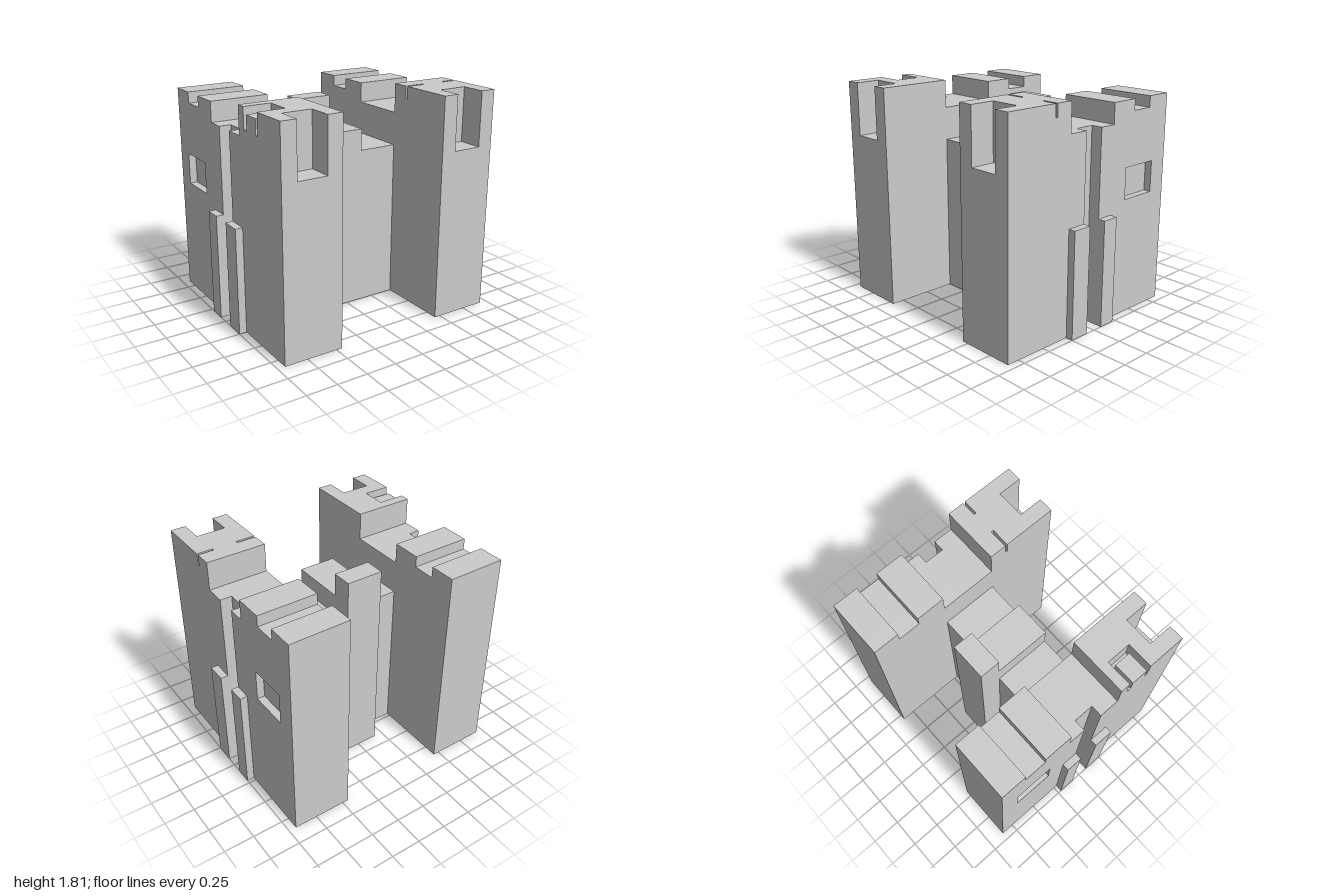
import * as THREE from 'three';

// Each block is [x0, x1, y0, y1, z0, z1]; a part is its solid blocks minus its cuts.
const mirrorX = ([x0, x1, ...rest]) => [-x1, -x0, ...rest];

// Tower wing on the +x side: stepped roof, front niche, side channel, blind window
function wing(top) {
  return {
    solids: [
      [0.45, 0.94, 0, top, 0.25, 0.855],
      [0.45, 0.94, 0, 1.575, -0.22, 0.25],
      [0.45, 0.94, 0, 1.74, -0.86, -0.22],
    ],
    cuts: [
      [0.45, 0.94, 1.65, 1.74, -0.645, -0.46],  // roof groove
      [0.575, 0.815, 1.37, top, 0.655, 0.855],  // front niche
      [0.845, 0.94, 0, 1.575, -0.08, 0.085],    // side channel
      [0.88, 0.94, 0.96, 1.215, -0.705, -0.385], // blind window
    ],
  };
}

function buildParts() {
  const left = wing(1.81), right = wing(1.8);
  // thin slits across the left tower roof
  left.cuts.push([0.45, 0.61, 1.71, 1.81, 0.39, 0.41], [0.81, 0.94, 1.71, 1.81, 0.39, 0.41]);
  // U-shaped groove around a lowered block in the right tower roof
  right.cuts.push(
    [0.72, 0.94, 1.75, 1.8, 0.33, 0.535],
    [0.72, 0.94, 1.63, 1.75, 0.33, 0.37],
    [0.72, 0.94, 1.63, 1.75, 0.51, 0.535],
    [0.72, 0.76, 1.63, 1.75, 0.37, 0.51],
  );
  const pilasters = [
    [0.94, 1, 0, 0.87, 0.085, 0.25],
    [0.94, 1, 0, 0.87, -0.22, -0.08],
  ];
  return [
    { name: 'leftTower', ...left },
    { name: 'rightTower', solids: right.solids.map(mirrorX), cuts: right.cuts.map(mirrorX) },
    { name: 'leftPilasters', solids: pilasters, cuts: [] },
    { name: 'rightPilasters', solids: pilasters.map(mirrorX), cuts: [] },
    {
      name: 'connectingWall',
      solids: [[-0.45, -0.175, 0, 1.305, -0.22, 0.25], [0.13, 0.45, 0, 1.305, -0.22, 0.25]],
      cuts: [],
    },
    { name: 'centralBlock', solids: [[-0.175, 0.13, 0, 1.48, -0.22, 0.25]], cuts: [] },
    { name: 'rearButtress', solids: [[-0.175, 0.13, 0, 1.67, -0.39, -0.22]], cuts: [] },
  ];
}

export function createModel() {
  const parts = buildParts();

  // Grid planes from every block edge
  const planes = [0, 1, 2].map((axis) => {
    const values = parts.flatMap((p) => [...p.solids, ...p.cuts])
      .flatMap((b) => [b[axis * 2], b[axis * 2 + 1]]);
    return [...new Set(values)].sort((a, b) => a - b);
  });

  // Which part fills each grid cell (-1 for empty)
  const size = planes.map((p) => p.length - 1);
  const inside = (b, c) => c.every((v, a) => v > b[a * 2] && v < b[a * 2 + 1]);
  const owners = new Int8Array(size[0] * size[1] * size[2]).fill(-1);
  const index = (c) => (c[0] * size[1] + c[1]) * size[2] + c[2];
  const cells = [];
  for (let i = 0; i < size[0]; i++)
    for (let j = 0; j < size[1]; j++)
      for (let k = 0; k < size[2]; k++) {
        const cell = [i, j, k];
        const mid = cell.map((n, a) => (planes[a][n] + planes[a][n + 1]) / 2);
        owners[index(cell)] = parts.findIndex((p) =>
          p.solids.some((b) => inside(b, mid)) && !p.cuts.some((b) => inside(b, mid)));
        cells.push(cell);
      }
  const ownerAt = (c) => (c.every((n, a) => n >= 0 && n < size[a]) ? owners[index(c)] : -1);

  // Outer faces only, so joined parts make one clean shell
  const positions = parts.map(() => []);
  for (const cell of cells) {
    const owner = ownerAt(cell);
    if (owner < 0) continue;
    for (let axis = 0; axis < 3; axis++)
      for (const side of [0, 1]) {
        const next = [...cell];
        next[axis] += side ? 1 : -1;
        if (ownerAt(next) >= 0) continue;
        const u = (axis + 1) % 3, v = (axis + 2) % 3;
        const corner = (du, dv) => {
          const p = [];
          p[axis] = planes[axis][cell[axis] + side];
          p[u] = planes[u][cell[u] + du];
          p[v] = planes[v][cell[v] + dv];
          return p;
        };
        const quad = [corner(0, 0), corner(1, 0), corner(1, 1), corner(0, 1)];
        if (!side) quad.reverse();
        for (const n of [0, 1, 2, 0, 2, 3]) positions[owner].push(...quad[n]);
      }
  }

  const group = new THREE.Group();
  group.name = 'castle';
  const material = new THREE.MeshStandardMaterial({ color: 0xcccccc, flatShading: true });
  parts.forEach((part, n) => {
    const geometry = new THREE.BufferGeometry();
    geometry.setAttribute('position', new THREE.Float32BufferAttribute(positions[n], 3));
    geometry.computeVertexNormals();
    const mesh = new THREE.Mesh(geometry, material);
    mesh.name = part.name;
    group.add(mesh);
  });
  return group;
}
